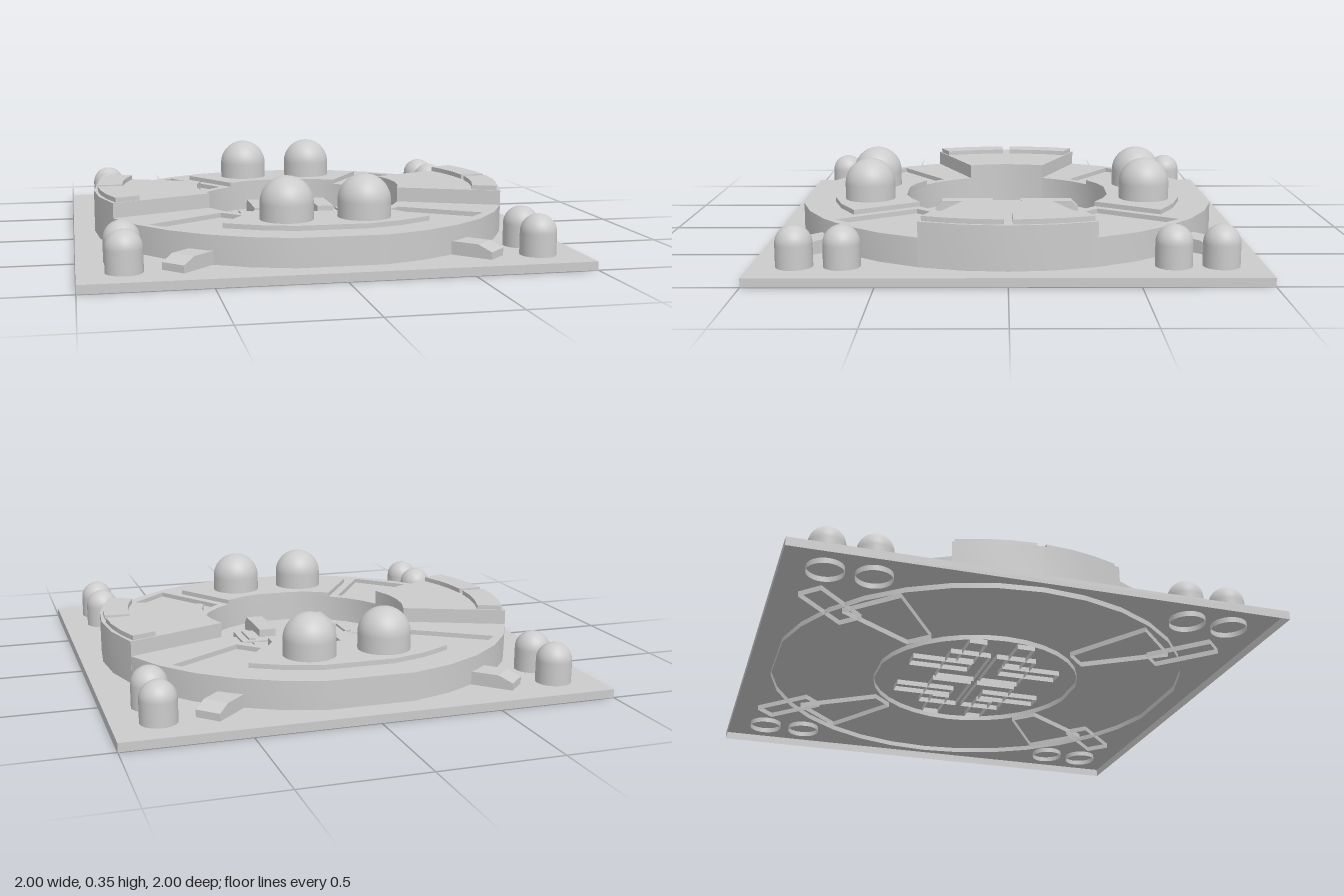
import * as THREE from 'three';
import { toCreasedNormals } from 'three/addons/utils/BufferGeometryUtils.js';

const material = new THREE.MeshStandardMaterial({ color: 0xcccccc, side: THREE.DoubleSide });
const RAD = Math.PI / 180;
const FLOOR = 0.035, FOOT = 0.013, RING_TOP = 0.152;

function add(parent, name, geometry, x = 0, y = 0, z = 0, turn = 0) {
  const mesh = new THREE.Mesh(geometry, material);
  mesh.name = name;
  mesh.position.set(x, y, z);
  mesh.rotation.y = turn;
  parent.add(mesh);
}

// Leaves out the downward faces, so the part is a shell open below
function openBelow(source) {
  const geo = source.index ? source.toNonIndexed() : source;
  const { position, normal } = geo.attributes;
  const points = [], normals = [];
  for (let i = 0; i < position.count; i += 3) {
    if (normal.getY(i) < -0.9) continue;
    for (let j = i; j < i + 3; j++) {
      points.push(position.getX(j), position.getY(j), position.getZ(j));
      normals.push(normal.getX(j), normal.getY(j), normal.getZ(j));
    }
  }
  return new THREE.BufferGeometry()
    .setAttribute('position', new THREE.Float32BufferAttribute(points, 3))
    .setAttribute('normal', new THREE.Float32BufferAttribute(normals, 3));
}

// Points on an arc, angles in degrees
function arc(r, a0, a1, steps) {
  return Array.from({ length: steps + 1 }, (_, i) => {
    const a = (a0 + (a1 - a0) * i / steps) * RAD;
    return new THREE.Vector2(r * Math.cos(a), r * Math.sin(a));
  });
}

// Full circle with one flat facet at the front and one at the back
function flattenedCircle(r) {
  return arc(r, 0, 360, 32).filter((p, i) => i < 32 && i !== 8 && i !== 24);
}

function sector(rIn, rOut, a0, a1, steps) {
  return [...arc(rOut, a0, a1, steps), ...arc(rIn, a1, a0, steps)];
}

// Plan outline raised from y0 to y1
function slab(points, y0, y1, holes = []) {
  const shape = new THREE.Shape(points);
  holes.forEach(h => shape.holes.push(new THREE.Path(h)));
  const geo = new THREE.ExtrudeGeometry(shape, { depth: y1 - y0, bevelEnabled: false });
  geo.rotateX(-Math.PI / 2).translate(0, y0, 0);
  return openBelow(toCreasedNormals(geo, 0.5));
}

// Open box standing on y = 0
function box(w, h, d) {
  return openBelow(new THREE.BoxGeometry(w, h, d).translate(0, h / 2, 0));
}

// Bar running along +x with a chamfered far end
function bar(length, width, height, endHeight, chamfer) {
  const shape = new THREE.Shape([
    [0, 0], [length, 0], [length, endHeight], [length - chamfer, height], [0, height],
  ].map(p => new THREE.Vector2(...p)));
  const geo = new THREE.ExtrudeGeometry(shape, { depth: width, bevelEnabled: false });
  return openBelow(geo.translate(0, 0, -width / 2));
}

// Round column with a hemispherical top
function dome(r, top) {
  const points = [new THREE.Vector2(r, 0)];
  for (let i = 0; i <= 12; i++) {
    const a = i / 12 * Math.PI / 2;
    points.push(new THREE.Vector2(i === 12 ? 0 : r * Math.cos(a), top - r + r * Math.sin(a)));
  }
  return new THREE.LatheGeometry(points, 32);
}

export function createModel() {
  const model = new THREE.Group();
  model.name = 'model';

  // Tray-like base, hollow underneath
  add(model, 'basePlate', box(2, FLOOR, 2));

  // Ring with a shallow recess on each diagonal
  const recesses = [45, 135, 225, 315].map(a =>
    [...arc(0.871, a - 9, a + 9, 1), ...arc(0.494, a + 6.8, a - 6.8, 1)]);
  add(model, 'ring', slab(flattenedCircle(0.908), FOOT, RING_TOP, [flattenedCircle(0.455), ...recesses]));
  recesses.forEach(r => add(model, 'recessFloor', slab(r, FLOOR + 0.005, RING_TOP - 0.02)));

  // Raised side blocks, each with two thin plates at the rim
  for (const side of [0, 180]) {
    add(model, 'sideBlock', slab(sector(0.455, 0.909, side - 22.5, side + 22.5, 4), FLOOR, 0.215));
    for (const a of [-22, 1.2])
      add(model, 'rimPlate', slab(sector(0.785, 0.893, side + a, side + a + 20.8, 3), 0.21, 0.235));
  }

  // Front and back plates, flush with the inner wall of the ring
  for (const a of [90, 270]) {
    const outer = arc(0.77, a - 33.5, a + 33.5, 6);
    const inner = arc(0.455, a + 33.75, a - 33.75, 6);
    const outline = [...outer, ...inner].filter((p, i) => i !== 3 && i !== 10);
    add(model, 'domePlate', slab(outline, 0.145, 0.172));
  }

  for (const sx of [-1, 1]) for (const sz of [-1, 1]) {
    // Large dome on the ring, pair of small domes at the corner
    add(model, 'largeDome', dome(0.109, 0.2), sx * 0.16, 0.148, sz * 0.6);
    for (const z of [0.642, 0.827])
      add(model, 'cornerDome', dome(0.073, 0.2 - FOOT), sx * 0.82, FOOT, sz * z);

    // Stub reaching out from the ring towards the corner
    add(model, 'diagonalStub', bar(0.28, 0.107, 0.09 - FOOT, 0.065 - FOOT, 0.06),
      sx * 0.442, FOOT, sz * 0.657, -Math.atan2(sz, sx));

    // Centre cluster: pad, long bar, side arm and slot frame
    const cluster = new THREE.Group();
    cluster.name = 'centreCluster';
    model.add(cluster);
    add(cluster, 'pad', box(0.26, 0.065 - FOOT, 0.178), sx * 0.147, FOOT, sz * 0.102);
    add(cluster, 'longBar', bar(0.262, 0.075, 0.1 - FOOT, 0.07 - FOOT, 0.03),
      sx * 0.147, FOOT, sz * 0.07, -sz * Math.PI / 2);
    add(cluster, 'sideArm', box(0.2, 0.055 - FOOT, 0.077), sx * 0.298, FOOT, sz * 0.105);
    add(cluster, 'slotCover', box(0.03, 0.02, 0.14), sx * 0.23, 0.055, sz * 0.102);
  }
  return model;
}
